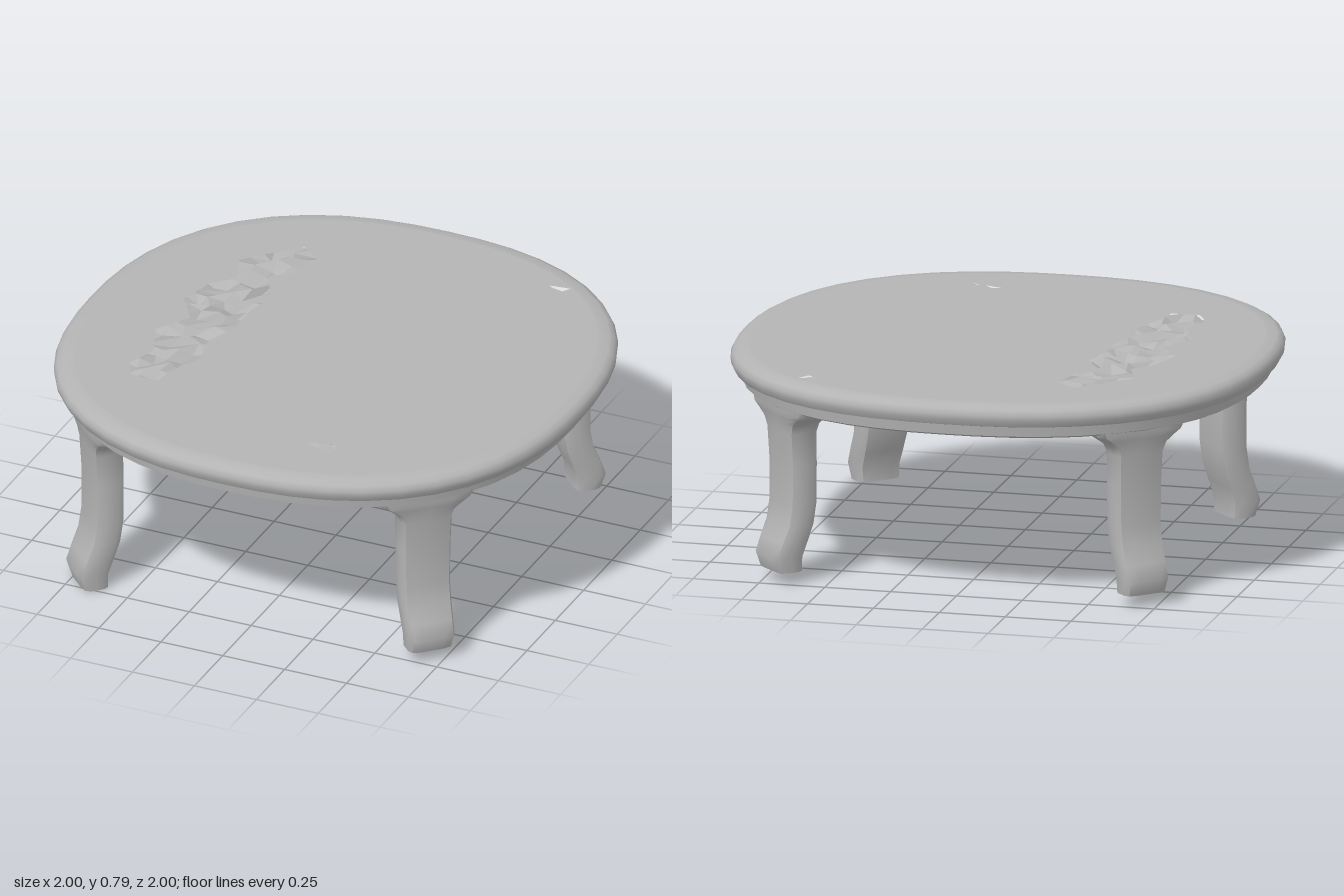
import * as THREE from 'three';
import { toCreasedNormals } from 'three/addons/utils/BufferGeometryUtils.js';

const TOP_Y = 0.79;
const SEGMENTS = 48;

// radius multiplier that turns a circle into a slightly squared round
const squareness = (a) =>
  Math.pow(Math.abs(Math.cos(a)) ** 2.35 + Math.abs(Math.sin(a)) ** 2.35, -1 / 2.35);

function seeded(seed) {
  return () => {
    seed = (seed * 16807) % 2147483647;
    return seed / 2147483647;
  };
}

// rim, apron ring and underside as one turned profile
function rimGeometry() {
  const profile = [
    [0, 0.685], [0.825, 0.685], [0.845, 0.67], [0.88, 0.66], [0.94, 0.66], [0.955, 0.668],
    [0.96, 0.705], [0.985, 0.712], [0.998, 0.735], [1, 0.755], [0.99, 0.775], [0.97, 0.786], [0.93, TOP_Y],
  ].map(([r, y]) => new THREE.Vector2(r, y));
  const geo = new THREE.LatheGeometry(profile, SEGMENTS);
  const p = geo.attributes.position;
  for (let i = 0; i < p.count; i++) {
    const k = squareness(Math.atan2(p.getZ(i), p.getX(i)));
    p.setX(i, p.getX(i) * k);
    p.setZ(i, p.getZ(i) * k);
  }
  return toCreasedNormals(geo, 0.75);
}

// flat top with the worn openings cut out
function topGeometry(holes) {
  const outline = [];
  for (let i = 0; i < SEGMENTS; i++) {
    const a = (i / SEGMENTS) * Math.PI * 2;
    const r = 0.93 * squareness(a);
    outline.push(new THREE.Vector2(r * Math.cos(a), r * Math.sin(a)));
  }
  const shape = new THREE.Shape(outline);
  for (const h of holes) shape.holes.push(new THREE.Path(h.map(([x, z]) => new THREE.Vector2(x, -z))));
  return new THREE.ShapeGeometry(shape).rotateX(-Math.PI / 2).translate(0, TOP_Y, 0);
}

// broken, faceted surface lying just under an opening
function roughGeometry(hole, step, seed) {
  const rnd = seeded(seed);
  const xs = hole.map((q) => q[0]), zs = hole.map((q) => q[1]);
  const x0 = Math.min(...xs), x1 = Math.max(...xs), z0 = Math.min(...zs), z1 = Math.max(...zs);
  const w = x1 - x0 + 0.04, d = z1 - z0 + 0.04;
  const geo = new THREE.PlaneGeometry(w, d, Math.ceil(w / step), Math.ceil(d / step));
  geo.rotateX(-Math.PI / 2).translate((x0 + x1) / 2, 0, (z0 + z1) / 2);
  const p = geo.attributes.position;
  for (let i = 0; i < p.count; i++) {
    p.setXYZ(i, p.getX(i) + (rnd() - 0.5) * step * 0.7, 0.755 + rnd() * 0.037, p.getZ(i) + (rnd() - 0.5) * step * 0.7);
  }
  const flat = geo.toNonIndexed();
  flat.computeVertexNormals();
  return flat;
}

// curved plank leg: [height, distance from centre, width, thickness], foot to bracket
const STATIONS = [
  [0.045, 0.965, 0.17, 0.1], [0.1, 0.975, 0.18, 0.12], [0.16, 0.952, 0.185, 0.12], [0.22, 0.928, 0.19, 0.115],
  [0.3, 0.915, 0.19, 0.115], [0.45, 0.915, 0.195, 0.115], [0.57, 0.92, 0.2, 0.12], [0.605, 0.92, 0.23, 0.13],
  [0.63, 0.92, 0.3, 0.14], [0.65, 0.92, 0.36, 0.15], [0.69, 0.92, 0.39, 0.15],
];

function legGeometry(footY) {
  const rows = STATIONS.length - 1;
  const geo = new THREE.BoxGeometry(2, rows, 2, 4, rows, 4);
  const p = geo.attributes.position;
  const stretch = (0.64 - footY) / (0.64 - STATIONS[0][0]);
  for (let i = 0; i < p.count; i++) {
    const u = p.getX(i), v = p.getZ(i);
    const [y, r, w, t] = STATIONS[Math.round(p.getY(i) + rows / 2)];
    const corner = Math.abs(u) === 1 && Math.abs(v) === 1 ? 0.88 : 1;
    p.setXYZ(i, (u * corner * w) / 2, y < 0.64 ? 0.64 - (0.64 - y) * stretch : y, r + (v * corner * t) / 2);
  }
  return toCreasedNormals(geo, 0.8);
}

export function createModel() {
  const grey = new THREE.MeshStandardMaterial({ color: 0xb4b4b4 });
  grey.name = 'plain grey';
  const model = new THREE.Group();
  model.name = 'roundTable';
  const add = (name, geo) => {
    const mesh = new THREE.Mesh(geo, grey);
    mesh.name = name;
    model.add(mesh);
    return mesh;
  };

  // worn strip and two small chips, as [x, z] outlines
  const wornStrip = [
    [-0.42, -0.64], [-0.34, -0.58], [-0.37, -0.45], [-0.45, -0.38], [-0.37, -0.24], [-0.4, -0.12], [-0.4, 0.05],
    [-0.44, 0.15], [-0.42, 0.28], [-0.48, 0.42], [-0.49, 0.5], [-0.6, 0.5], [-0.64, 0.42], [-0.6, 0.3],
    [-0.66, 0.15], [-0.58, 0.02], [-0.66, -0.1], [-0.62, -0.25], [-0.55, -0.32], [-0.6, -0.45], [-0.52, -0.54],
  ];
  const frontChip = [[0.2, 0.7], [0.31, 0.67], [0.32, 0.74]];
  const backChip = [[0.52, -0.75], [0.6, -0.76], [0.57, -0.71]];

  add('tableRimAndApron', rimGeometry());
  add('tableTop', topGeometry([wornStrip, frontChip, backChip]));
  add('wornStrip', roughGeometry(wornStrip, 0.055, 11));
  add('frontChip', roughGeometry(frontChip, 0.06, 5));
  add('backChip', roughGeometry(backChip, 0.06, 8));

  // four legs on the diagonals, the front right one a little longer
  ['frontLeftLeg', 'backLeftLeg', 'backRightLeg', 'frontRightLeg'].forEach((name, i) => {
    add(name, legGeometry(name === 'frontRightLeg' ? 0 : 0.045)).rotation.y = Math.PI / 4 + (i * Math.PI) / 2;
  });
  return model;
}
